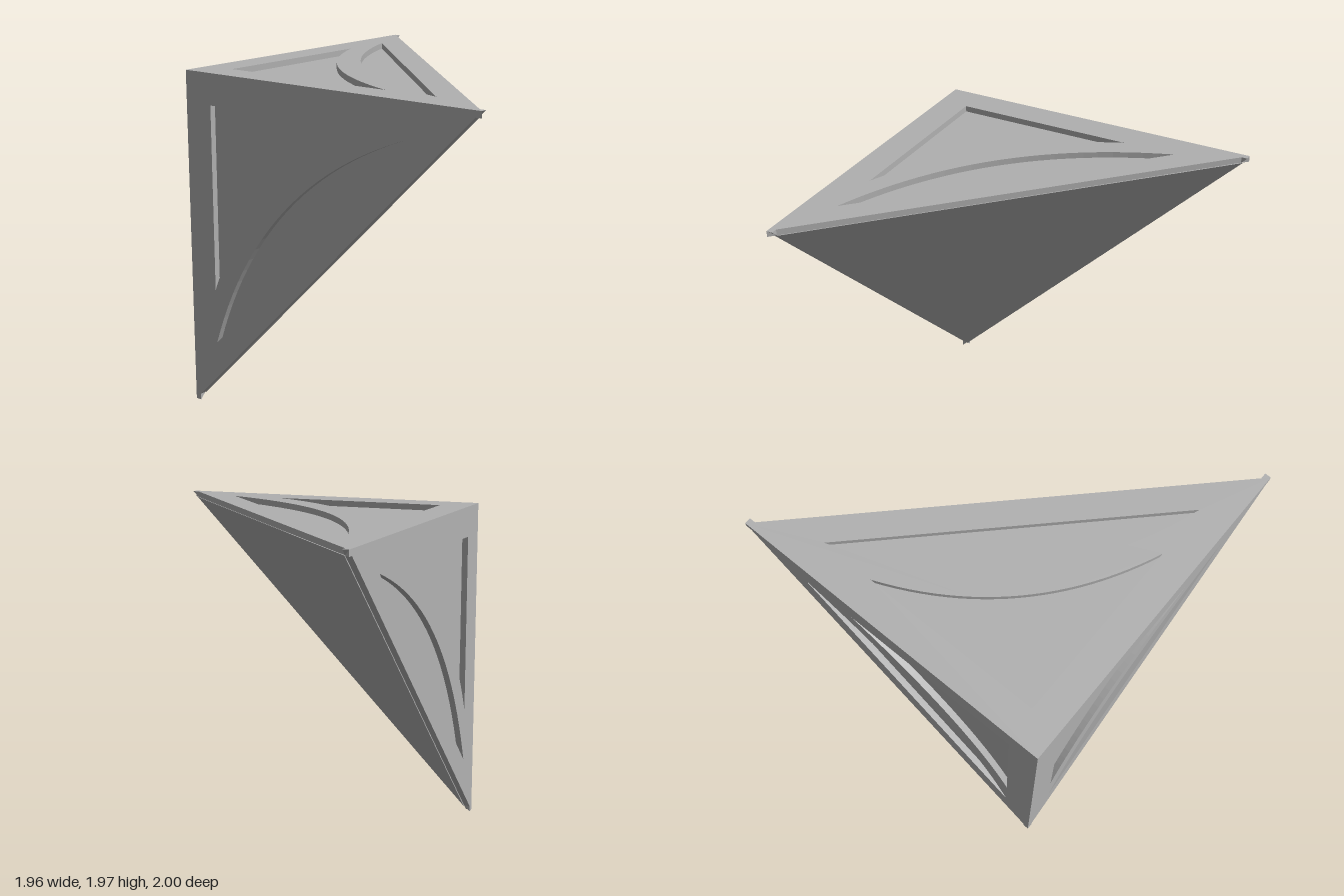
import * as THREE from 'three';
import { ConvexGeometry } from 'three/addons/geometries/ConvexGeometry.js';

const SIDE = 1.96;   // nominal edge length of a face panel
const DEPTH = 0.036; // panel thickness, also the recess depth

const V = (x, y, z) => new THREE.Vector3(x, y, z);

// Right triangle panel with two recess openings either side of a curved rib
function panelGeometry() {
  const shape = new THREE.Shape();
  shape.moveTo(0, 0);
  shape.lineTo(SIDE, 0);
  shape.lineTo(0, SIDE);
  shape.closePath();

  // opening next to the square corner, ending in the inner arc
  const corner = new THREE.Path();
  corner.moveTo(0.18, 0.18);
  corner.lineTo(0.18, 1.25);
  corner.quadraticCurveTo(0.49, 0.49, 1.25, 0.18);
  corner.closePath();

  // opening between the outer arc and the long edge
  const crescent = new THREE.Path();
  crescent.moveTo(0.18, 1.57);
  crescent.quadraticCurveTo(0.53, 0.53, 1.57, 0.18);
  crescent.closePath();

  shape.holes.push(corner, crescent);
  return new THREE.ExtrudeGeometry(shape, { depth: DEPTH, bevelEnabled: false, curveSegments: 24 });
}

export function createModel() {
  const group = new THREE.Group();
  group.name = 'cornerPiece';
  const grey = new THREE.MeshStandardMaterial({ color: 0xb0b0b0 });
  grey.name = 'grey';

  // outer corners of the piece
  const corner = V(-0.98, 1.963, -0.965);
  const right = V(0.98, 1.965, -0.967);
  const front = V(-0.98, 1.93, 1.0);
  const bottom = V(-0.98, 0, -1.0);

  // three outer panels, each spanned by two edges from the square corner
  const geometry = panelGeometry();
  const addPanel = (name, a, b) => {
    const u = a.clone().sub(corner).divideScalar(SIDE);
    const v = b.clone().sub(corner).divideScalar(SIDE);
    const inward = u.clone().cross(v).normalize();
    const matrix = new THREE.Matrix4().makeBasis(u, v, inward).setPosition(corner);
    const mesh = new THREE.Mesh(geometry.clone().applyMatrix4(matrix), grey);
    mesh.name = name;
    group.add(mesh);
  };
  addPanel('topPanel', right, front);
  addPanel('sidePanel', front, bottom);
  addPanel('backPanel', bottom, right);

  // solid core: gives the recess floors and the slanted face
  const core = new THREE.Mesh(new ConvexGeometry([
    V(-0.944, 1.927, -0.929),
    V(0.955, 1.93, -0.932),
    V(-0.94, 1.894, 0.965),
    V(-0.942, 0.03, -0.962),
  ]), grey);
  core.name = 'core';
  group.add(core);

  return group;
}
